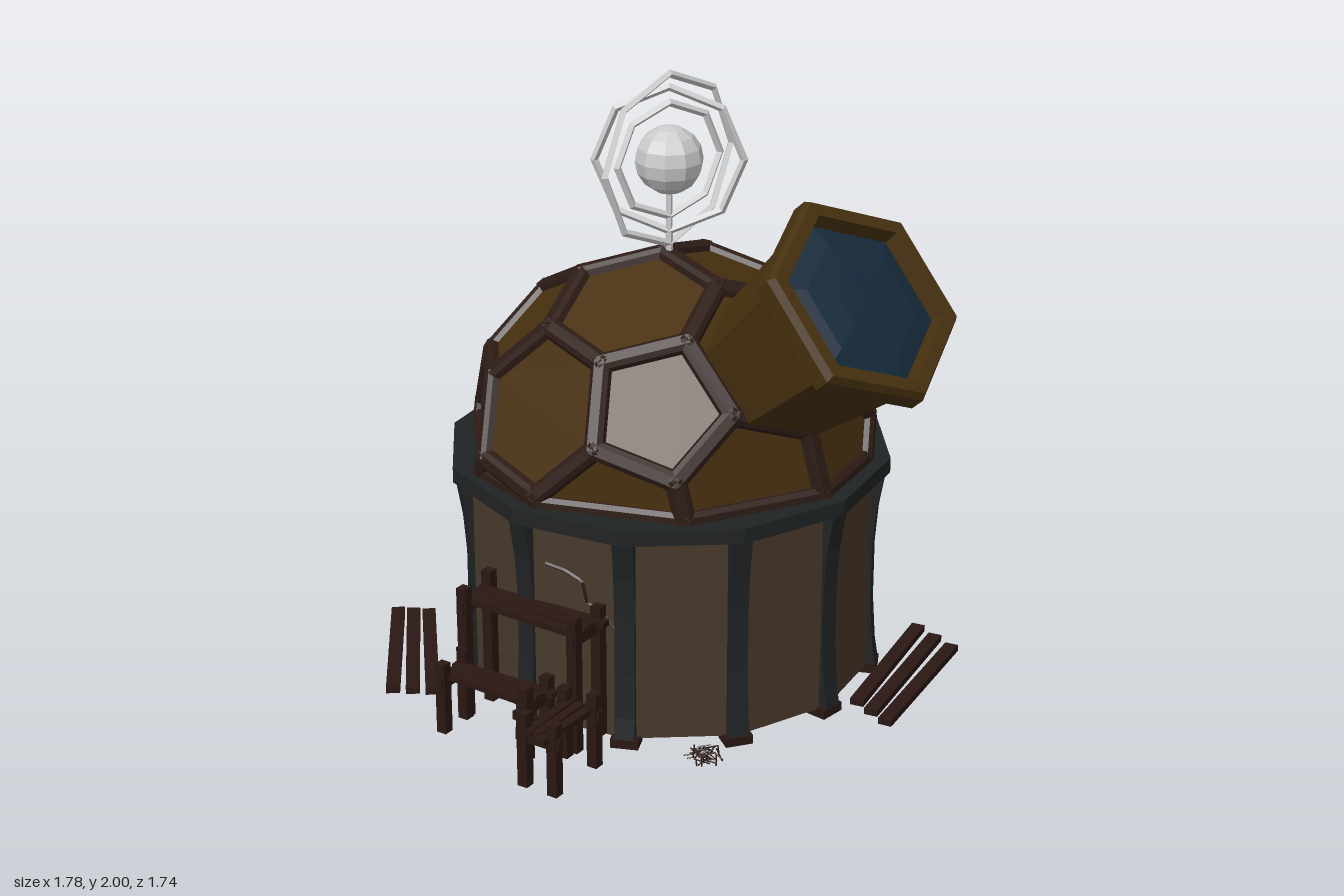
import * as THREE from 'three';
import { mergeGeometries } from 'three/addons/utils/BufferGeometryUtils.js';

const V = (x, y, z) => new THREE.Vector3(x, y, z);
const mat = (color) => new THREE.MeshStandardMaterial({ color, flatShading: true, side: THREE.DoubleSide });
const M = {
  panel: mat(0x48300f), strut: mat(0x2e1c16), wall: mat(0x48382a), iron: mat(0x202324),
  wood: mat(0x2a1713), brass: mat(0x46300f), glass: mat(0x162a3a), metal: mat(0xcccccc),
};
const SIDES = 12, FIRST = THREE.MathUtils.degToRad(11), LATHE_START = Math.PI / 2 - FIRST;

function add(parent, name, geometry, material, pos = [0, 0, 0]) {
  const mesh = new THREE.Mesh(geometry, material);
  mesh.name = name;
  mesh.position.set(...pos);
  parent.add(mesh);
  return mesh;
}
function group(parent, name, pos = [0, 0, 0], rotY = 0) {
  const g = new THREE.Group();
  g.name = name;
  g.position.set(...pos);
  g.rotation.y = rotY;
  parent.add(g);
  return g;
}
const profile = (pts) => pts.map(([x, y]) => new THREE.Vector2(x, y));

// Twelve-sided drum with curved buttresses
function buildDrum(parent) {
  const drum = group(parent, 'drum');
  add(drum, 'wall', new THREE.CylinderGeometry(0.68, 0.68, 0.72, SIDES, 1, true, LATHE_START), M.wall, [0, 0.385, 0]);
  const rim = [[0.62, 0.71], [0.727, 0.71], [0.727, 0.76], [0.62, 0.76], [0.62, 0.71]];
  add(drum, 'rim', new THREE.LatheGeometry(profile(rim), SIDES, LATHE_START), M.iron);
  const side = new THREE.Shape(profile([[0.64, 0.02], [0.703, 0.02], [0.69, 0.1], [0.68, 0.25], [0.68, 0.45],
    [0.69, 0.58], [0.712, 0.71], [0.64, 0.71]]));
  const buttress = new THREE.ExtrudeGeometry(side, { depth: 0.066, bevelEnabled: false }).translate(0, 0, -0.033);
  const foot = new THREE.BoxGeometry(0.07, 0.03, 0.09);
  for (let i = 0; i < SIDES; i++) {
    const bay = group(drum, 'buttressBay', [0, 0, 0], -FIRST - (i * Math.PI * 2) / SIDES);
    add(bay, 'buttress', buttress, M.iron);
    add(bay, 'foot', foot, M.wood, [0.668, 0.015, 0]);
  }
  // Crack across one wall facet, given as [along the facet, height]
  const a = FIRST + THREE.MathUtils.degToRad(135);
  const path = new THREE.CurvePath();
  const pts = [[0.1, 0.575], [0.03, 0.565], [-0.03, 0.54], [-0.045, 0.47], [-0.1, 0.45], [-0.14, 0.4]]
    .map(([u, y]) => V(0.657 * Math.cos(a) - u * Math.sin(a), y, 0.657 * Math.sin(a) + u * Math.cos(a)));
  for (let i = 1; i < pts.length; i++) path.add(new THREE.LineCurve3(pts[i - 1], pts[i]));
  add(drum, 'crack', new THREE.TubeGeometry(path, 24, 0.006, 4), M.wood);
}

// Faces of a truncated icosahedron, turned so that one corner lies near the top
function domeFaces(radius) {
  const top = V(0, 1, -0.05).normalize();
  const t = V(Math.cos(0.436), 0, Math.sin(0.436));
  t.addScaledVector(top, -t.dot(top)).normalize();
  const tilt = (deg) => top.clone().multiplyScalar(Math.cos(deg * Math.PI / 180)).addScaledVector(t, Math.sin(deg * Math.PI / 180));
  const pole = tilt(20.08), next = tilt(-43.355);
  const ico = [pole];
  for (let k = 0; k < 5; k++) ico.push(next.clone().applyAxisAngle(pole, (k * Math.PI * 2) / 5));
  ico.push(...ico.map((v) => v.clone().negate()));
  const near = (a, b) => a.dot(b) > 0.4 && a !== b;
  const cut = (a, b) => a.clone().multiplyScalar(2).add(b).divideScalar(3).setLength(radius);
  const faces = [];
  ico.forEach((a, i) => {
    const ring = ico.filter((b) => near(a, b));
    const e = ring[0].clone().addScaledVector(a, -ring[0].dot(a)), f = a.clone().cross(e);
    ring.sort((b, c) => Math.atan2(b.dot(f), b.dot(e)) - Math.atan2(c.dot(f), c.dot(e)));
    faces.push(ring.map((b) => cut(a, b)));
    for (let j = i + 1; j < 12; j++) for (let k = j + 1; k < 12; k++) {
      const b = ico[j], c = ico[k];
      if (!near(a, b) || !near(b, c) || !near(a, c)) continue;
      const hex = [cut(a, b), cut(b, a), cut(b, c), cut(c, b), cut(c, a), cut(a, c)];
      faces.push(a.clone().cross(b).dot(c) > 0 ? hex : hex.reverse());
    }
  });
  return faces;
}
// Keeps the part of a polygon above height h
function clipBelow(poly, h) {
  const out = [];
  poly.forEach((p, i) => {
    const q = poly[(i + 1) % poly.length];
    if (p.y >= h) out.push(p);
    if ((p.y >= h) !== (q.y >= h)) out.push(p.clone().lerp(q, (h - p.y) / (q.y - p.y)));
  });
  return out;
}
function buildDome(parent) {
  const dome = group(parent, 'dome', [0, 0.735, 0]);
  const section = new THREE.Shape(profile([[-0.036, -0.025], [0.036, -0.025], [0.03, 0.008], [0.016, 0.02], [-0.016, 0.02], [-0.03, 0.008]]));
  const seen = new Set(), struts = [], tris = [];
  for (const full of domeFaces(0.668)) {
    const poly = clipBelow(full, 0.03);
    if (poly.length < 3) continue;
    for (let i = 1; i < poly.length - 1; i++) for (const p of [poly[0], poly[i], poly[i + 1]]) tris.push(p);
    poly.forEach((p, i) => {
      const q = poly[(i + 1) % poly.length], mid = p.clone().add(q).divideScalar(2);
      const key = mid.toArray().map((n) => Math.round(n * 200)).join();
      const len = p.distanceTo(q);
      if (seen.has(key) || len < 0.01) return;
      seen.add(key);
      const z = q.clone().sub(p).normalize();
      const y = mid.clone().addScaledVector(z, -mid.dot(z)).normalize();
      const g = new THREE.ExtrudeGeometry(section, { depth: len + 0.02, bevelEnabled: false }).translate(0, 0, -0.01);
      struts.push(g.applyMatrix4(new THREE.Matrix4().makeBasis(y.clone().cross(z), y, z).setPosition(p)));
    });
  }
  const shell = new THREE.BufferGeometry().setFromPoints(tris);
  shell.computeVertexNormals();
  add(dome, 'domePanels', shell, M.panel);
  add(dome, 'domeStruts', mergeGeometries(struts), M.strut);
}

// Six-sided telescope pointing straight out from the dome centre
function buildTelescope(parent) {
  const scope = group(parent, 'telescope', [0, 0.745, 0]);
  const n = V(0.21, 0.735, 0.825).normalize();
  const r = V(0, 1, 0).cross(n).normalize();
  scope.quaternion.setFromRotationMatrix(new THREE.Matrix4().makeBasis(r.clone().negate(), n, n.clone().cross(r)));
  const tube = [[0.235, 0.5], [0.295, 1.0], [0.345, 1.045], [0.345, 1.1], [0.33, 1.124], [0.285, 1.124], [0.27, 1.06]];
  add(scope, 'tube', new THREE.LatheGeometry(profile(tube), 6, 0.07), M.brass);
  const lens = [[0.285, 1.07], [0.2, 1.095], [0.1, 1.108], [0, 1.112]];
  add(scope, 'lens', new THREE.LatheGeometry(profile(lens), 6, 0.07), M.glass);
}

// Globe inside three nested rings
function buildArmillary(parent) {
  const top = group(parent, 'armillary', [0, 1.715, 0]);
  const globe = add(top, 'globe', new THREE.SphereGeometry(0.11, 10, 8), M.metal);
  globe.rotation.y = 0.3;
  for (const [radius, turn] of [[0.277, 15], [0.235, -30], [0.185, 0]]) {
    const ring = add(top, 'ring', new THREE.TorusGeometry(radius, 0.013, 4, 8), M.metal);
    ring.rotation.y = THREE.MathUtils.degToRad(turn);
  }
  add(top, 'stem', new THREE.CylinderGeometry(0.01, 0.012, 0.25, 6), M.metal, [0, -0.215, 0]);
}

// Rough bench; its length runs along local z
function buildBench(parent, x, z, rotY, length, width, height) {
  const bench = group(parent, 'bench', [x, 0.03, z], rotY);
  const n = 3, step = width / n;
  for (let i = 0; i < n; i++) {
    const board = add(bench, 'board', new THREE.BoxGeometry(step * 0.8, 0.02, length - (i % 2) * 0.04), M.wood,
      [(i - 1) * step, height, 0.01 * (i - 1)]);
    board.rotation.y = 0.03 * (i - 1);
  }
  for (const s of [-1, 1]) {
    const zEnd = s * (length / 2 - 0.03);
    add(bench, 'crosspiece', new THREE.BoxGeometry(width + 0.05, 0.04, 0.025), M.wood, [0, height - 0.015, zEnd]);
    for (const t of [-1, 1]) {
      const h = height + 0.06 - (s === t ? 0.01 : 0);
      add(bench, 'leg', new THREE.BoxGeometry(0.035, h, 0.035), M.wood, [t * (width / 2), h / 2, zEnd]);
    }
  }
}
function buildPlanks(parent, x, z, rotY, length, rise) {
  const stack = group(parent, 'plankStack', [x, 0.042, z], rotY);
  for (let i = -1; i <= 1; i++) {
    const plank = add(stack, 'plank', new THREE.BoxGeometry(0.045, 0.022, length), M.wood, [i * 0.058, rise * (i + 1), 0.01 * i]);
    plank.rotation.y = 0.02 * i;
  }
}
// Loose heap of twigs
function buildTwigs(parent) {
  const heap = group(parent, 'twigs', [-0.21, 0.035, 0.595]);
  let seed = 7;
  const rnd = () => (seed = (seed * 16807) % 2147483647) / 2147483647;
  for (let i = 0; i < 36; i++) {
    const g = new THREE.CylinderGeometry(0.0025, 0.0025, 0.04 + 0.03 * rnd(), 4).rotateX(Math.PI / 2 + 0.5 * (rnd() - 0.5));
    const a = rnd() * 6.28, d = 0.05 * Math.sqrt(rnd());
    add(heap, 'twig', g, M.wood, [d * Math.cos(a), 0.02 * rnd(), d * Math.sin(a)]).rotation.y = rnd() * 6.28;
  }
}

export function createModel() {
  const model = new THREE.Group();
  model.name = 'observatory';
  const building = group(model, 'building', [0.09, 0, -0.165]);
  buildDrum(building);
  buildDome(building);
  buildTelescope(building);
  buildArmillary(building);
  buildBench(model, -0.57, 0.13, 0.477, 0.48, 0.13, 0.4);
  buildBench(model, -0.71, 0.15, 0.477, 0.38, 0.11, 0.19);
  buildBench(model, -0.64, 0.455, 0.477 + Math.PI / 2, 0.27, 0.11, 0.19);
  buildPlanks(model, -0.7, -0.5, -0.43, 0.58, 0);
  buildPlanks(model, 0.61, 0.47, 2.18, 0.58, 0.018);
  buildTwigs(model);
  return model;
}
